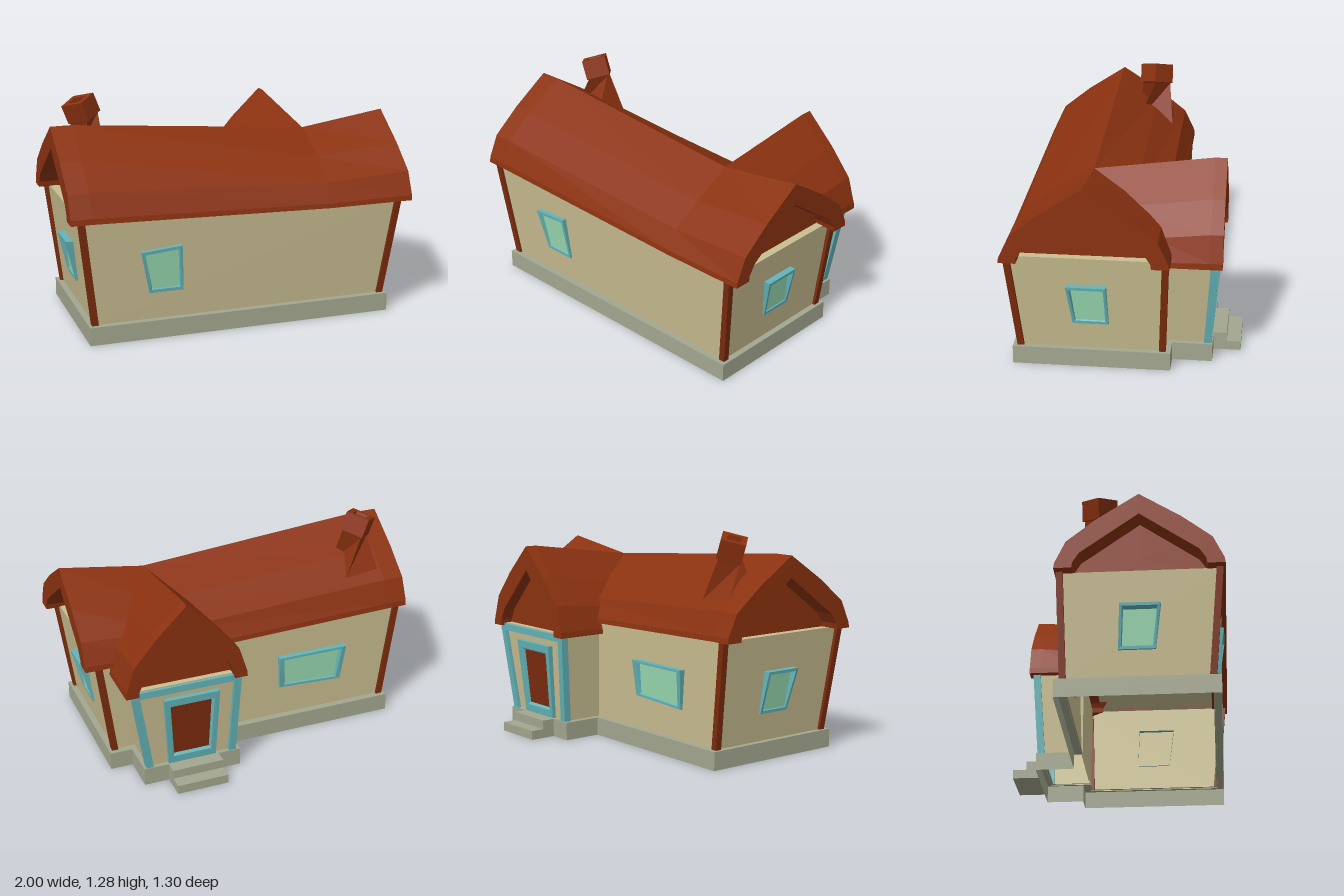
import * as THREE from 'three';

const mat = (color) => new THREE.MeshStandardMaterial({ color, flatShading: true, side: THREE.DoubleSide });

// Stitches neighbouring rows of points with quads
function grid(rows, closed = true) {
  const pos = [];
  for (let r = 0; r + 1 < rows.length; r++) {
    const a = rows[r], b = rows[r + 1], n = a.length;
    for (let i = 0; i < (closed ? n : n - 1); i++) {
      const j = (i + 1) % n;
      pos.push(...a[i], ...a[j], ...b[j], ...a[i], ...b[j], ...b[i]);
    }
  }
  const g = new THREE.BufferGeometry();
  g.setAttribute('position', new THREE.Float32BufferAttribute(pos, 3));
  g.computeVertexNormals();
  return g;
}

// Loop shrunk to its centre, used to close an opening
const centre = (loop) => {
  const c = [0, 1, 2].map((k) => loop.reduce((s, p) => s + p[k], 0) / loop.length);
  return loop.map(() => c);
};
// Counter-clockwise rectangle seen from above
const rect = (x0, x1, z0, z1, y, yRight = y) => [[x0, y, z1], [x1, yRight, z1], [x1, yRight, z0], [x0, y, z0]];

export function createModel() {
  const house = new THREE.Group();
  house.name = 'cottage';
  const roofMat = mat(0x8b3210), postMat = mat(0x7d2c0e), wallMat = mat(0xc9be91);
  const stoneMat = mat(0xa3a78f), trimMat = mat(0x64b4b8), glassMat = mat(0x98d8b0);
  const add = (name, geo, material, parent = house) => {
    const m = new THREE.Mesh(geo, material);
    m.name = name;
    parent.add(m);
    return m;
  };

  // Stone foundation: skirt and top ledge, open below
  const plan = [[-0.9, 0.61], [0.88, 0.61], [0.88, -0.27], [0.75, -0.27], [0.75, -0.495],
    [0.165, -0.495], [0.165, -0.27], [-0.9, -0.27]];
  const inner = [[-0.85, 0.565], [0.83, 0.565], [0.83, -0.22], [0.71, -0.22], [0.71, -0.455],
    [0.205, -0.455], [0.205, -0.22], [-0.85, -0.22]];
  const at = (pts, y) => pts.map(([x, z]) => [x, y, z]);
  add('foundation', grid([at(plan, 0), at(plan, 0.105), at(inner, 0.105)]), stoneMat);

  // Entrance steps
  [[0.105, -0.495, -0.57], [0.053, -0.57, -0.65]].forEach(([h, z1, z0]) => {
    const step = add('step', new THREE.BoxGeometry(0.305, h, z1 - z0), stoneMat);
    step.position.set(0.4525, h / 2, (z0 + z1) / 2);
  });

  // Walls leaning outward, closed at the top
  const walls = (name, lower, upper) => add(name, grid([lower, upper, centre(upper)]), wallMat);
  walls('mainWalls', rect(-0.865, 0.845, -0.228, 0.57, 0.1), rect(-0.935, 0.915, -0.245, 0.622, 0.71, 0.675));
  walls('porchWalls', rect(0.205, 0.72, -0.468, -0.22, 0.1), rect(0.18, 0.805, -0.505, -0.22, 0.63));

  // Corner posts; sx, sz point to the outside of the corner
  const post = (name, [x0, z0], [x1, z1], sx, sz, top, w, material) => {
    const ring = (x, z, y) => rect(Math.min(x, x - sx * w), Math.max(x, x - sx * w),
      Math.min(z, z - sz * w), Math.max(z, z - sz * w), y);
    add(name, grid([ring(x0, z0, 0.105), ring(x1, z1, top)]), material);
  };
  for (const s of [-1, 1]) {
    const top = s < 0 ? 0.72 : 0.68;
    post('frontPost', [-0.01 + s * 0.872, 0.585], [-0.01 + s * 0.948, 0.64], s, 1, top, 0.037, postMat);
    post('backPost', [-0.01 + s * 0.872, -0.243], [-0.01 + s * 0.948, -0.262], s, -1, top, 0.037, postMat);
    post('porchPost', [s < 0 ? 0.19 : 0.735, -0.49], [s < 0 ? 0.165 : 0.82, -0.525], s, -1, 0.63, 0.043, trimMat);
  }
  const lintel = add('porchLintel', new THREE.BoxGeometry(0.65, 0.04, 0.04), trimMat);
  lintel.position.set(0.4925, 0.605, -0.503);

  // Sagging gambrel roof: thick shell with recessed gables
  const outer = [[-1, 0], [-0.99, 0.07], [-0.86, 0.36], [-0.5, 0.66], [0, 1]];
  const under = [[-0.79, 0], [-0.78, 0.07], [-0.7, 0.2], [-0.35, 0.46], [0, 0.72]];
  const mirror = (p) => [...p, ...p.slice(0, -1).reverse().map(([u, t]) => [-u, t])];
  function gambrel(name, half, stations, panels, place) {
    const g = new THREE.Group();
    g.name = name;
    house.add(g);
    const row = (p, [s, eave, ridge]) => mirror(p).map(([u, t]) => place(s, u * half, eave + t * (ridge - eave)));
    add('shell', grid(stations.map((st) => [...row(outer, st), ...row(under, st).reverse()])), roofMat, g);
    const a = stations[0], b = stations[stations.length - 1];
    add('gableEdge', grid([row(under, a), row(outer, a)], false), roofMat, g);
    add('gableEdge', grid([row(outer, b), row(under, b)], false), roofMat, g);
    panels.forEach((st) => {
      const loop = row(under, st);
      add('gablePanel', grid(st[0] > 0 ? [loop, centre(loop)] : [centre(loop), loop]), roofMat, g);
    });
  }
  gambrel('mainRoof', 0.46,
    [[-1, 0.708, 1.15], [-0.88, 0.708, 1.15], [0.5, 0.67, 1.035], [1, 0.67, 1.11]],
    [[-0.88, 0.705, 1.148], [0.87, 0.67, 1.09]],
    (s, u, y) => [s, y, 0.19 + u]);
  // The porch roof runs back into the main ridge along two valleys
  gambrel('porchRoof', 0.358,
    [[-0.545, 0.615, 1.125], [-0.475, 0.615, 1.125], [0.19, 0.615, 1.035]],
    [[-0.47, 0.615, 1.125]],
    (s, u, y) => [0.498 - u, y, s > 0 ? s - 1.2 * Math.abs(u) : s]);

  // Crooked chimney: square foot twisting into a tilted cap with a flue
  const tilt = 0.35;
  const diamond = (cx, cy, r) => [0, 1, 2, 3].map((i) => {
    const a = -i * Math.PI / 2 + Math.PI / 2;
    return [cx + r * Math.cos(a) * Math.cos(tilt), cy + r * Math.cos(a) * Math.sin(tilt), -0.04 + r * Math.sin(a)];
  });
  const foot = rect(-0.865, -0.655, -0.15, 0.075, 0.9);
  const flue = diamond(-0.775, 1.2, 0.05);
  add('chimney', grid([foot, diamond(-0.752, 1.13, 0.085), diamond(-0.75, 1.135, 0.1), diamond(-0.79, 1.241, 0.1),
    diamond(-0.79, 1.241, 0.055), flue, centre(flue)]), roofMat);

  // Framed opening: corners run counter-clockwise seen from outside, as [u, y]
  function opening(name, corners, place, low, high, inset, paneMat) {
    const g = new THREE.Group();
    g.name = name;
    house.add(g);
    const mid = [0, 1].map((k) => corners.reduce((s, c) => s + c[k], 0) / 4);
    const y0 = Math.min(...corners.map((c) => c[1])), y1 = Math.max(...corners.map((c) => c[1]));
    const ring = (k, depth) => corners.map(([u, y]) => {
      const d = low + (high - low) * (y - y0) / (y1 - y0);
      return place(mid[0] + (u - mid[0]) * k, mid[1] + (y - mid[1]) * k, depth === 0 ? 0.006 : d * depth);
    });
    const pane = ring(1 - inset * 1.3, 0);
    add('frame', grid([ring(1, -0.6), ring(1, 1), ring(1 - inset, 1), pane]), trimMat, g);
    add('pane', grid([pane, centre(pane)]), paneMat, g);
  }
  const lean = (y, a, b, h = 0.6) => a + (b - a) * (y - 0.105) / h;

  opening('frontWindow', [[-0.555, 0.265], [-0.36, 0.265], [-0.375, 0.535], [-0.605, 0.515]],
    (u, y, d) => [u, y, lean(y, 0.57, 0.622) + d], 0.012, 0.028, 0.14, glassMat);
  opening('leftWindow', [[-0.27, 0.265], [-0.07, 0.265], [-0.08, 0.51], [-0.3, 0.51]],
    (u, y, d) => [lean(y, 0.845, 0.915) + d, y, -u], 0.012, 0.042, 0.14, glassMat);
  opening('rightWindow', [[0.07, 0.265], [0.27, 0.265], [0.3, 0.51], [0.08, 0.51]],
    (u, y, d) => [lean(y, -0.865, -0.935) - d, y, u], 0.012, 0.042, 0.14, glassMat);
  opening('backWindow', [[0.19, 0.3], [0.585, 0.28], [0.61, 0.51], [0.18, 0.51]],
    (u, y, d) => [-u, y, lean(y, -0.228, -0.245) - d], 0.015, 0.035, 0.13, glassMat);
  opening('door', [[-0.6, 0.106], [-0.315, 0.106], [-0.3, 0.545], [-0.63, 0.545]],
    (u, y, d) => [-u, y, lean(y, -0.468, -0.505, 0.525) - d], 0.022, 0.03, 0.2, postMat);

  return house;
}
